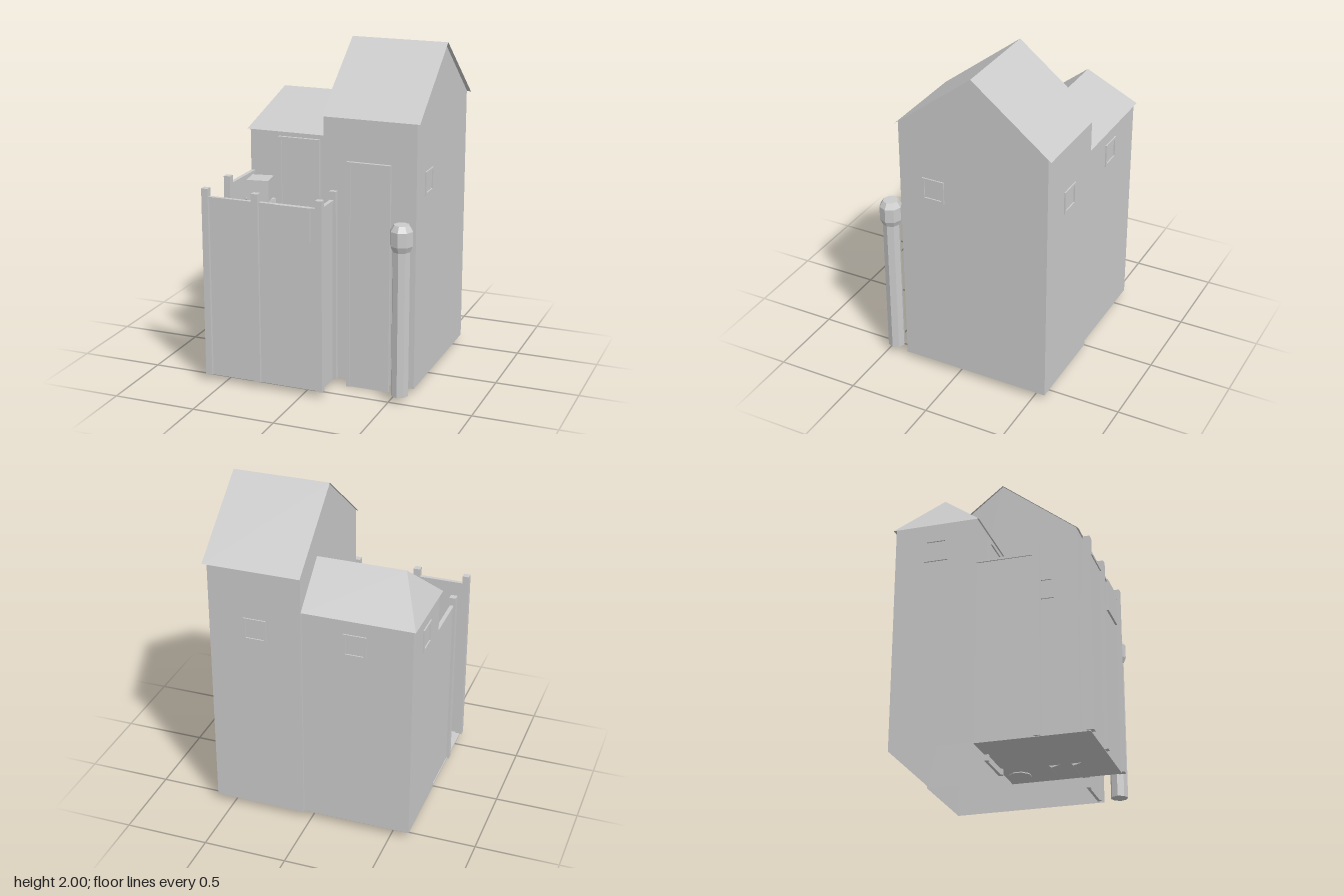
import * as THREE from 'three';

const grey = new THREE.MeshStandardMaterial({ color: 0xcccccc, flatShading: true });
const shell = new THREE.MeshStandardMaterial({ color: 0xcccccc, flatShading: true, side: THREE.DoubleSide });

// Convex polygons, corners counter-clockwise from outside, split into fans
function polygons(faces) {
  const pos = [];
  for (const f of faces)
    for (let i = 1; i < f.length - 1; i++) pos.push(...f[0], ...f[i], ...f[i + 1]);
  const g = new THREE.BufferGeometry();
  g.setAttribute('position', new THREE.Float32BufferAttribute(pos, 3));
  g.computeVertexNormals();
  return g;
}

export function createModel() {
  const model = new THREE.Group();

  function add(name, geometry, parent = model, material = grey) {
    const m = new THREE.Mesh(geometry, material);
    m.name = name;
    parent.add(m);
    return m;
  }
  // Box given by its extents
  function box(name, x0, x1, y0, y1, z0, z1, parent) {
    const m = add(name, new THREE.BoxGeometry(x1 - x0, y1 - y0, z1 - z0), parent);
    m.position.set((x0 + x1) / 2, (y0 + y1) / 2, (z0 + z1) / 2);
    return m;
  }

  const base = 0.04;

  // Tall gabled tower, open underneath
  {
    const a = 0.045, b = 0.605, f = 0.355, k = -0.575, e = 1.63, r = 1.997, m = -0.117;
    add('towerWalls', polygons([
      [[a, base, f], [b, base, f], [b, e, f], [a, e, f]],
      [[b, base, k], [a, base, k], [a, e, k], [b, e, k]],
      [[b, base, f], [b, base, k], [b, e, k], [b, r, m], [b, e, f]],
      [[a, base, k], [a, base, f], [a, e, f], [a, r, m], [a, e, k]],
    ]), model, shell);
    const x0 = 0.037, x1 = 0.624, z0 = -0.6, z1 = 0.37, y = 1.62;
    add('towerRoof', polygons([
      [[x0, y, z1], [x1, y, z1], [x1, 2, m], [x0, 2, m]],
      [[x1, y, z0], [x0, y, z0], [x0, 2, m], [x1, 2, m]],
    ]), model, shell);
  }

  // Lower wing with a hipped end
  {
    const a = -0.61, b = 0.045, f = -0.065, k = -0.56, e = 1.41;
    add('wingWalls', polygons([
      [[a, base, f], [b, base, f], [b, e, f], [a, e, f]],
      [[b, base, k], [a, base, k], [a, e, k], [b, e, k]],
      [[a, base, k], [a, base, f], [a, e, f], [a, e, k]],
    ]), model, shell);
    const x0 = -0.625, x1 = 0.045, z0 = -0.573, z1 = -0.05, y = 1.4, r = 1.63, m = -0.308, h = -0.485;
    add('wingRoof', polygons([
      [[x0, y, z1], [x1, y, z1], [x1, r, m], [h, r, m]],
      [[x1, y, z0], [x0, y, z0], [h, r, m], [x1, r, m]],
      [[x0, y, z0], [x0, y, z1], [h, r, m]],
    ]), model, shell);
  }

  // Doors: panel with jambs and lintel
  function door(name, x0, x1, zWall) {
    const g = new THREE.Group(), t = 0.022, z0 = zWall - 0.005, z1 = zWall + 0.02;
    g.name = name;
    model.add(g);
    box('doorPanel', x0 + t, x1 - t, 0, 1.35, z0, zWall + 0.012, g);
    box('doorJamb', x0, x0 + t, 0, 1.35, z0, z1, g);
    box('doorJamb', x1 - t, x1, 0, 1.35, z0, z1, g);
    box('doorLintel', x0, x1, 1.35, 1.37, z0, z1, g);
  }
  door('towerDoor', 0.19, 0.455, 0.355);
  door('wingDoor', -0.42, -0.15, -0.065);

  // Window frames, modelled facing +z then turned to their wall
  function windowFrame(name, x, z, turn) {
    const g = new THREE.Group(), w = 0.07, t = 0.015;
    g.name = name;
    for (const s of [-1, 1]) {
      const c = s * (w - t / 2);
      box('windowJamb', c - t / 2, c + t / 2, -w, w, -0.005, 0.008, g);
      box('windowRail', t - w, w - t, c - t / 2, c + t / 2, -0.005, 0.008, g);
    }
    g.position.set(x, 1.24, z);
    g.rotation.y = turn;
    model.add(g);
  }
  windowFrame('towerSideWindow', 0.605, 0.14, Math.PI / 2);
  windowFrame('towerBackWindow', 0.325, -0.575, Math.PI);
  windowFrame('towerYardWindow', 0.045, 0.14, -Math.PI / 2);
  windowFrame('wingBackWindow', -0.27, -0.56, Math.PI);
  windowFrame('wingSideWindow', -0.61, -0.31, -Math.PI / 2);

  // Yard floor and fence, with a gap on the left for the entrance
  box('yardFloor', -0.605, 0.11, 0.036, 0.044, -0.07, 0.58);
  for (const [x, z] of [[-0.597, 0.58], [-0.283, 0.58], [0.11, 0.58], [-0.597, 0.285], [0.11, 0.365]])
    box('fencePost', x - 0.02, x + 0.02, base, 1.19, z - 0.02, z + 0.02);
  for (const [x0, x1, z0, z1] of [
    [-0.6, 0.11, 0.57, 0.58], [-0.6, -0.59, -0.065, 0.285], [0.1, 0.11, 0.365, 0.58],
  ]) {
    box('fencePanel', x0, x1, base, 1.125, z0, z1);
    box('fenceRail', x0 - 0.007, x1 + 0.007, 1.125, 1.14, z0 - 0.007, z1 + 0.007);
  }
  box('fenceBoard', -0.16, 0.055, 0.94, 1.14, 0.56, 0.592);

  // Box on a stand in the yard corner
  box('boxStand', -0.562, -0.428, 0.044, 1.0, -0.007, 0.127).rotation.y = -0.42;
  box('cornerBox', -0.56, -0.425, 1.0, 1.13, -0.007, 0.128).rotation.y = 0.17;

  // Barrel with a board leaning by it
  const barrel = add('barrel', new THREE.CylinderGeometry(0.07, 0.065, 0.45, 8));
  barrel.position.set(-0.03, 0.255, 0.018);
  barrel.rotation.y = Math.PI / 8;
  const board = add('leaningBoard', new THREE.BoxGeometry(0.14, 0.2, 0.015));
  board.position.set(-0.04, 1.06, -0.005);
  board.rotation.set(0, -0.64, -0.3);

  // Two rolls lying against the tower wall
  for (const z of [0.248, 0.376]) {
    const roll = add('roll', new THREE.CylinderGeometry(0.059, 0.059, 0.17, 6));
    roll.position.set(-0.055, 0.08, z);
    roll.rotation.set(-0.26, 0, Math.PI / 2);
  }

  // Lamp post in front of the tower
  const lamp = new THREE.Group();
  lamp.name = 'lampPost';
  lamp.position.set(0.555, 0, 0.46);
  model.add(lamp);
  add('lampPole', new THREE.CylinderGeometry(0.052, 0.052, 0.89, 8), lamp).position.y = 0.485;
  const profile = [[0, 0.91], [0.052, 0.91], [0.067, 0.945], [0.067, 1.03], [0.045, 1.065], [0, 1.065]];
  add('lampHead', new THREE.LatheGeometry(profile.map(([x, y]) => new THREE.Vector2(x, y)), 8), lamp);

  return model;
}
